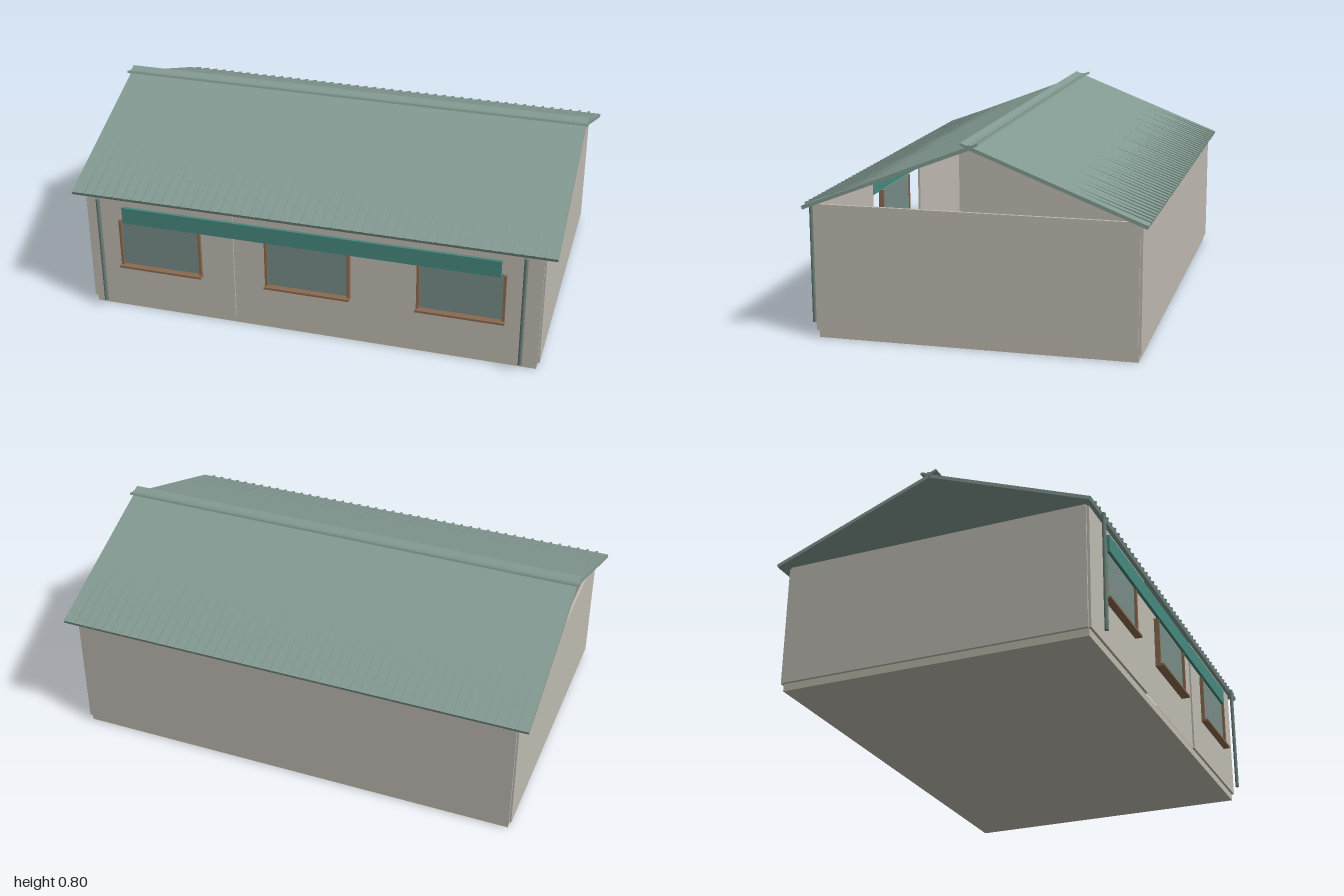
import * as THREE from 'three';

const mat = (name, color, side = THREE.FrontSide) => {
  const m = new THREE.MeshStandardMaterial({ color, side });
  m.name = name;
  return m;
};

export function createModel() {
  const house = new THREE.Group();
  house.name = 'house';
  const plaster = mat('plaster', 0xbfbbb2);
  const stone = mat('foundationStone', 0xbfbaac);
  const tin = mat('roofTin', 0x839a92);
  const glass = mat('windowGlass', 0x788d88);
  const wood = mat('windowWood', 0x8a6a50);
  const teal = mat('awningTeal', 0x46897f);
  const metal = mat('postMetal', 0x6c807a);

  const add = (parent, name, geo, material, x = 0, y = 0, z = 0) => {
    const m = new THREE.Mesh(geo, material);
    m.name = name;
    m.position.set(x, y, z);
    parent.add(m);
    return m;
  };
  // Box given by its limits on each axis
  const box = (parent, name, material, [x0, x1], [y0, y1], [z0, z1]) =>
    add(parent, name, new THREE.BoxGeometry(x1 - x0, y1 - y0, z1 - z0), material,
      (x0 + x1) / 2, (y0 + y1) / 2, (z0 + z1) / 2);

  // Foundation and hollow walls, open at the gables
  const wallY = [0.03, 0.532];
  box(house, 'foundation', stone, [-0.935, 0.935], [0, 0.032], [-0.63, 0.62]);
  box(house, 'backWall', plaster, [-0.94, 0.94], wallY, [-0.64, -0.63]);
  for (const s of [-1, 1]) {
    box(house, 'sideWall', plaster, s > 0 ? [0.935, 0.947] : [-0.947, -0.935], wallY, [-0.63, 0.62]);
    box(house, 'frontWall', plaster, s > 0 ? [0.312, 0.94] : [-0.94, -0.312], wallY, [0.62, 0.63]);
  }
  add(house, 'middleFrontWall', new THREE.PlaneGeometry(0.624, 0.502), plaster, 0, 0.281, 0.623);

  // Windows with side jambs and a projecting sill
  for (const x of [-0.625, 0, 0.625]) {
    const win = new THREE.Group();
    win.name = 'window';
    win.position.x = x;
    house.add(win);
    box(win, 'windowPane', glass, [-0.17, 0.17], [0.215, 0.42], [0.627, 0.634]);
    for (const s of [-1, 1])
      box(win, 'windowJamb', wood, s > 0 ? [0.166, 0.176] : [-0.176, -0.166], [0.21, 0.42], [0.623, 0.645]);
    box(win, 'windowSill', wood, [-0.178, 0.178], [0.205, 0.214], [0.623, 0.66]);
  }

  // Long fascia board above the windows, and the porch posts
  box(house, 'awningBoard', teal, [-0.78, 0.78], [0.415, 0.485], [0.638, 0.651]);
  for (const x of [-0.875, 0.875])
    add(house, 'porchPost', new THREE.CylinderGeometry(0.008, 0.008, 0.482, 12), metal, x, 0.281, 0.664);

  // Roof: two sloping slabs with tapered ribs rising towards the eaves
  const roof = new THREE.Group();
  roof.name = 'roof';
  roof.position.set(0, 0.782, -0.006);
  house.add(roof);
  const slope = Math.atan2(0.257, 0.66);
  const length = 0.708;
  const thick = 0.014;
  const ribCount = 46;
  for (const s of [1, -1]) {
    const side = new THREE.Group();
    side.name = s > 0 ? 'frontRoofSide' : 'backRoofSide';
    side.rotation.y = s > 0 ? 0 : Math.PI;
    roof.add(side);
    const panel = new THREE.Group();
    panel.name = 'roofPanel';
    panel.rotation.x = slope;
    side.add(panel);
    box(panel, 'roofSlab', tin, [-0.992, 0.992], [-thick / 2, thick / 2], [0, length]);
    for (let i = 0; i < ribCount; i++) {
      const x = -0.94 + 1.88 * i / (ribCount - 1);
      const k = Math.min(i, ribCount - 1 - i);
      const run = 0.31 + 0.05 * Math.sin(k * 2.3) - (k % 5 === 2 ? 0.05 : 0);
      const geo = new THREE.BoxGeometry(0.008, 0.01, run);
      const p = geo.attributes.position;
      for (let v = 0; v < p.count; v++)
        if (p.getZ(v) < 0) p.setY(v, p.getY(v) - 0.006);
      geo.computeVertexNormals();
      add(panel, 'roofRib', geo, tin, x, thick / 2 + 0.001, length + 0.003 - run / 2);
    }
    // Upturned half of the ridge cap
    const cap = add(side, 'ridgeFlap', new THREE.BoxGeometry(1.996, 0.009, 0.034), tin, 0, 0.01, 0.018);
    cap.rotation.x = -slope;
  }
  const ridge = add(roof, 'ridgeRod', new THREE.CylinderGeometry(0.009, 0.009, 2, 12), tin, 0, 0.004, 0);
  ridge.rotation.z = Math.PI / 2;

  return house;
}
